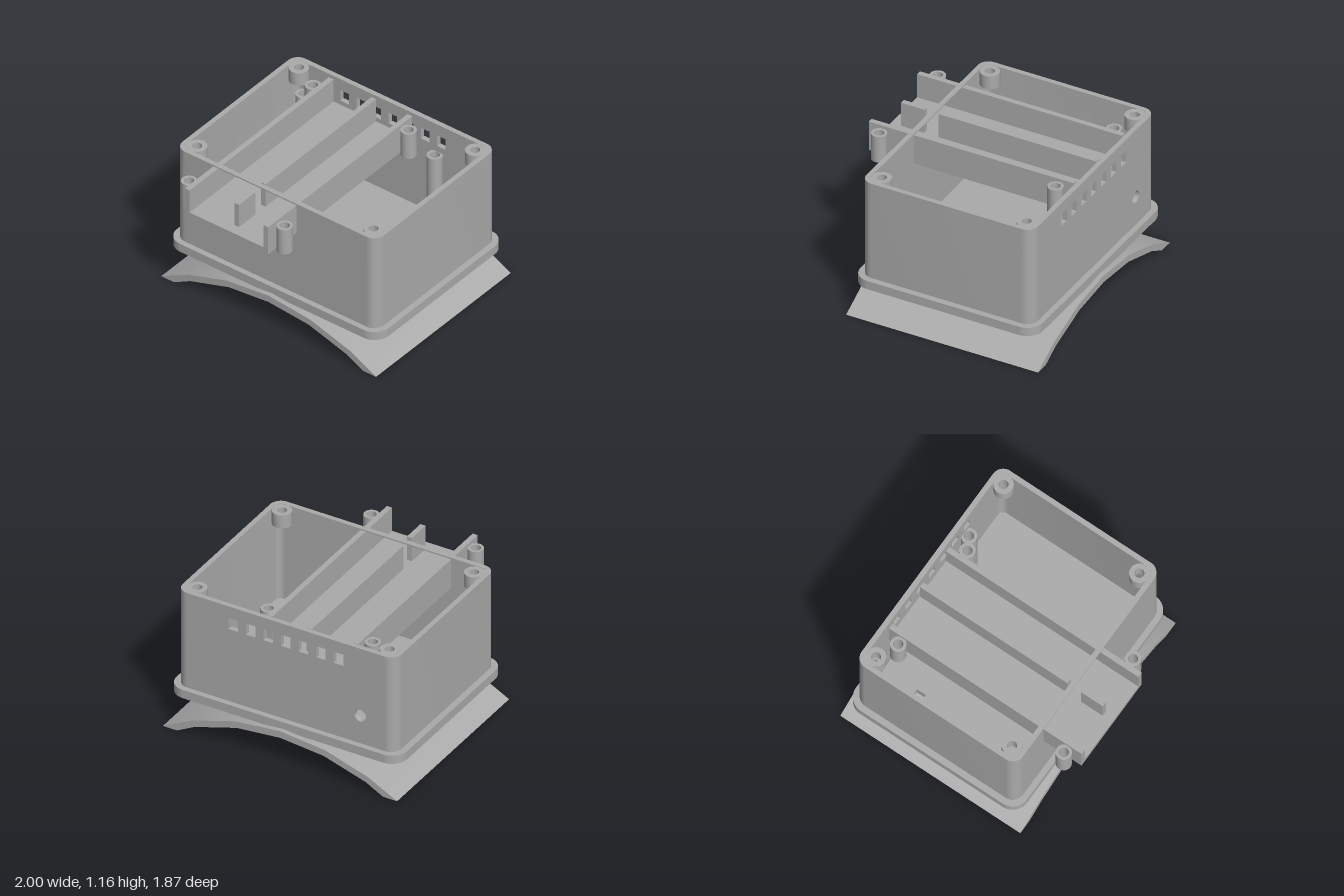
import * as THREE from 'three';
import { toCreasedNormals } from 'three/addons/utils/BufferGeometryUtils.js';

const grey = new THREE.MeshStandardMaterial({ color: 0xaaaaaa });
grey.name = 'plain grey';

export function createModel() {
  const model = new THREE.Group();
  model.name = 'enclosure';

  const add = (name, geometry) => {
    const mesh = new THREE.Mesh(geometry, grey);
    mesh.name = name;
    model.add(mesh);
    return mesh;
  };
  const extrude = (shape, depth) =>
    new THREE.ExtrudeGeometry(shape, { depth, bevelEnabled: false, curveSegments: 12 });
  // Plan shapes are drawn in (x, -z) and raised from y0 to y1
  const raise = (name, shape, y0, y1) => {
    const g = extrude(shape, y1 - y0);
    g.rotateX(-Math.PI / 2);
    g.translate(0, y0, 0);
    return add(name, toCreasedNormals(g, 0.6));
  };
  // Upright panels are drawn in (x, y) and run from z0 to z1
  const panel = (name, shape, z0, z1) => {
    const g = extrude(shape, z1 - z0);
    g.translate(0, 0, z0);
    return add(name, toCreasedNormals(g, 0.6));
  };
  const box = (name, x0, x1, y0, y1, z0, z1) => {
    const g = new THREE.BoxGeometry(x1 - x0, y1 - y0, z1 - z0);
    g.translate((x0 + x1) / 2, (y0 + y1) / 2, (z0 + z1) / 2);
    return add(name, g);
  };
  const rect = (C, x0, x1, y0, y1) =>
    new C([[x0, y0], [x1, y0], [x1, y1], [x0, y1]].map((p) => new THREE.Vector2(...p)));
  const circle = (C, x, y, r) => new C().absarc(x, y, r, 0, Math.PI * 2, false);
  const post = (name, x, z, r, hole, y0, y1) => {
    const s = circle(THREE.Shape, x, -z, r);
    s.holes.push(circle(THREE.Path, x, -z, hole));
    return raise(name, s, y0, y1);
  };

  // Curved saddle plate under the box
  const top = [[-1, 0], [-0.75, 0.13], [-0.385, 0.243], [0, 0.283], [0.385, 0.243], [0.75, 0.13], [1, 0]];
  const under = [[0.88, 0], [0.73, 0.08], [0.37, 0.19], [0, 0.225], [-0.37, 0.19], [-0.73, 0.08], [-0.88, 0]];
  panel('saddlePlate', new THREE.Shape([...top, ...under].map((p) => new THREE.Vector2(...p))), -0.935, 0.675);

  // Base flange with rounded corners and a cable slot
  const fx = 0.985, fb = 0.895, ff = -0.635, fr = 0.13, H = Math.PI / 2;
  const flange = new THREE.Shape();
  flange.absarc(fx - fr, fb - fr, fr, 0, H, false);
  flange.absarc(-fx + fr, fb - fr, fr, H, 2 * H, false);
  flange.absarc(-fx + fr, ff + fr, fr, 2 * H, 3 * H, false);
  flange.absarc(fx - fr, ff + fr, fr, 3 * H, 4 * H, false);
  flange.closePath();
  flange.holes.push(rect(THREE.Path, -0.67, -0.61, 0.44, 0.52));
  raise('baseFlange', flange, 0.268, 0.34);

  // Side walls, each including its two rounded corners
  const y0 = 0.34, y1 = 1.165, wx = 0.935, back = 0.85, front = -0.59, R = 0.09, t = 0.04;
  const cx = wx - R;
  for (const side of [1, -1]) {
    const s = new THREE.Shape();
    const a = (r, y, from, to) => {
      const m = (v) => (side > 0 ? v : Math.PI - v);
      s.absarc(side * cx, y, r, m(from), m(to), (to < from) === (side > 0));
    };
    a(R, front + R, -H, 0);
    a(R, back - R, 0, H);
    a(R - t, back - R, H, 0);
    a(R - t, front + R, 0, -H);
    s.closePath();
    raise(side > 0 ? 'leftWall' : 'rightWall', s, y0, y1);
  }

  // Back wall with a row of windows and a cable hole
  const backWall = rect(THREE.Shape, -cx, cx, y0, y1);
  for (let i = 0; i < 7; i++) {
    const x = -0.45 + 0.15 * i;
    backWall.holes.push(rect(THREE.Path, x - 0.04, x + 0.04, 0.968, 1.065));
  }
  backWall.holes.push(circle(THREE.Path, -0.635, 0.58, 0.05));
  panel('backWall', backWall, -back, -back + t);

  // Front wall with the tray opening
  const frontWall = rect(THREE.Shape, -cx, cx, y0, y1);
  frontWall.holes.push(rect(THREE.Path, -0.58, 0.195, 0.905, 1.153));
  panel('frontWall', frontWall, -front - t, -front);

  // Open tray that slides out through the front
  box('trayFloor', -0.58, 0.195, 0.905, 0.95, -0.79, 0.93);
  box('trayRightWall', -0.58, -0.537, 0.95, 1.153, -0.79, 0.93);
  box('trayLeftWall', 0.152, 0.195, 0.95, 1.153, -0.79, 0.93);
  box('trayDivider', -0.185, -0.142, 0.95, 1.153, -0.79, 0.53);
  box('trayFrontDivider', -0.185, -0.142, 0.95, 1.153, 0.65, 0.845);
  for (const x of [-0.635, 0.255])
    for (const z of [-0.67, 0.81]) post('trayBoss', x, z, 0.061, 0.038, 0.905, 1.128);

  // Lid screw bosses, filled out into the corners
  for (const sx of [1, -1])
    for (const [z, sz] of [[-0.74, -1], [0.475, 1]]) {
      const x = sx * 0.82;
      post('cornerBoss', x, z, 0.076, 0.037, 1.05, 1.163);
      const f = new THREE.Shape();
      const q = Math.atan2(-sz, sx), h = Math.PI / 4;
      f.moveTo(x + sx * 0.076, -z);
      f.lineTo(x + sx * 0.076, -z - sz * 0.071);
      f.lineTo(x, -z - sz * 0.071);
      const flip = sx * -sz > 0;
      f.absarc(x, -z, 0.06, flip ? q + h : q - h, flip ? q - h : q + h, flip);
      f.closePath();
      raise('cornerBossFill', f, 1.05, 1.163);
    }

  // Tall posts at the back wall and short standoffs on the floor
  for (const x of [-0.8, 0.42]) post('tallPost', x, -0.77, 0.061, 0.038, 0.34, 0.915);
  for (const x of [-0.735, 0.355])
    for (const z of [-0.59, 0.325]) post('standoff', x, z, 0.061, 0.034, 0.34, 0.45);

  return model;
}
